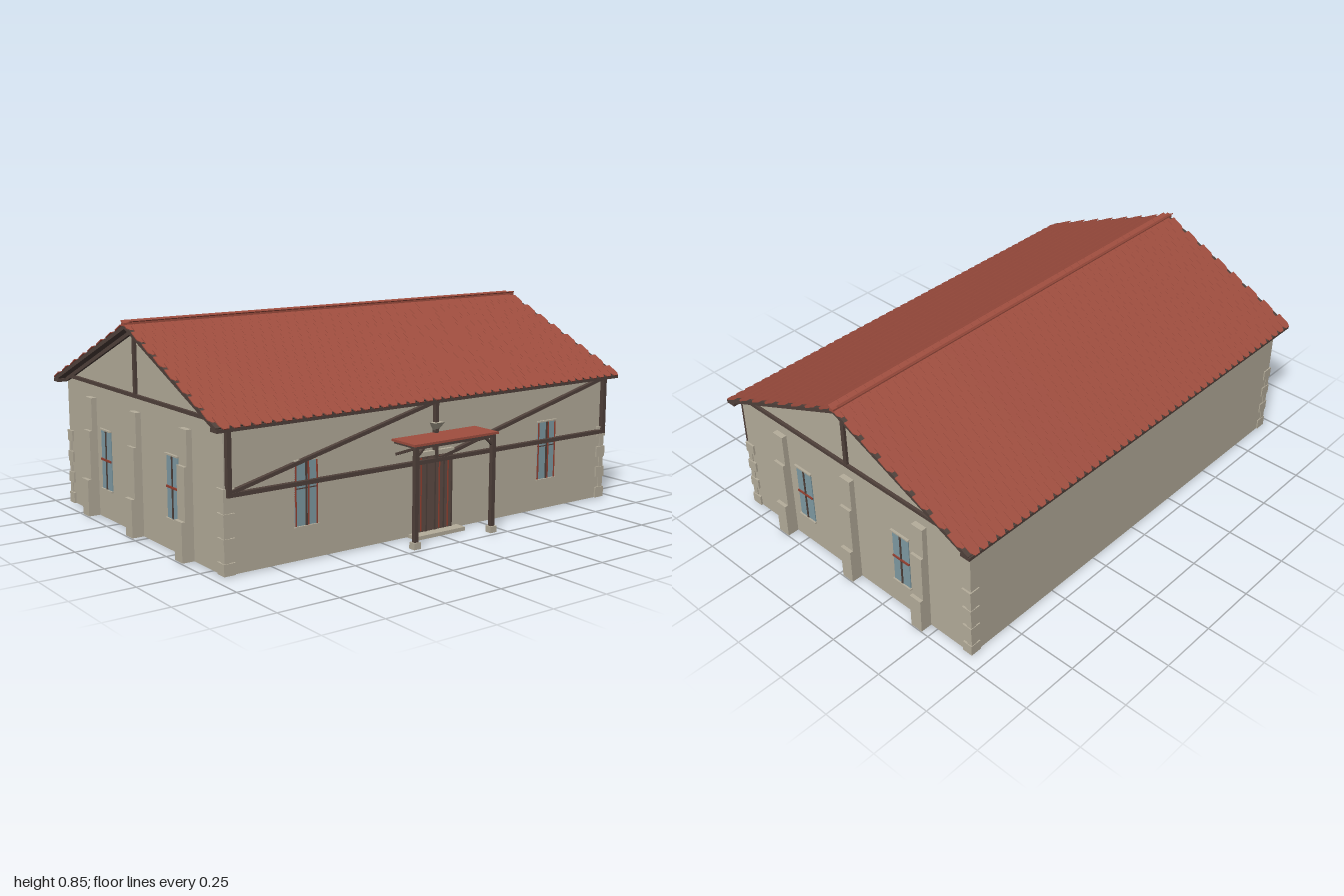
import * as THREE from 'three';
import { mergeGeometries } from 'three/addons/utils/BufferGeometryUtils.js';

const material = (name, color) => new THREE.MeshStandardMaterial({ name, color });

export function createModel() {
  const house = new THREE.Group();
  house.name = 'house';

  const plaster = material('plaster', 0xb5ad9b);
  const timber = material('dark timber', 0x50413b);
  const tileRed = material('terracotta', 0xa04e3f);
  const glass = material('window glass', 0x7f9ba4);
  const doorWood = material('door wood', 0x5f4c44);
  const trimRed = material('red trim', 0x954030);

  const RIDGE_Z = -0.05, RIDGE_Y = 0.832, RUN = 0.68, SLOPE = 0.431;
  const ANGLE = Math.atan(SLOPE), LENGTH = RUN / Math.cos(ANGLE);

  const add = (name, geometry, mat, parent = house) => {
    const mesh = new THREE.Mesh(geometry, mat);
    mesh.name = name;
    parent.add(mesh);
    return mesh;
  };
  // box given by its limits
  const box = (name, mat, [x0, x1], [y0, y1], [z0, z1], parent) => {
    const mesh = add(name, new THREE.BoxGeometry(x1 - x0, y1 - y0, z1 - z0), mat, parent);
    mesh.position.set((x0 + x1) / 2, (y0 + y1) / 2, (z0 + z1) / 2);
    return mesh;
  };
  // straight timber between two points
  const beam = (name, a, b, width, depth = width) => {
    const from = new THREE.Vector3(...a), to = new THREE.Vector3(...b);
    const mesh = add(name, new THREE.BoxGeometry(width, depth, from.distanceTo(to)), timber);
    mesh.position.copy(from).add(to).multiplyScalar(0.5);
    mesh.lookAt(to);
    return mesh;
  };

  // walls: gabled cross-section run along x
  const section = new THREE.Shape([
    [-0.59, 0.004], [0.685, 0.004], [0.685, 0.538], [0.05, 0.812], [-0.59, 0.538],
  ].map(([u, v]) => new THREE.Vector2(u, v)));
  const walls = new THREE.ExtrudeGeometry(section, { depth: 1.9, bevelEnabled: false });
  walls.rotateY(Math.PI / 2).translate(-0.95, 0, 0);
  add('walls', walls, plaster);
  box('floorSlab', plaster, [-0.93, 0.93], [0, 0.006], [-0.665, 0.57]);

  // roof: dark deck with staggered pointed tiles on each slope
  const COLS = 46, ROWS = 16, tileW = 2 / (COLS + 0.5), step = LENGTH / ROWS;
  const w = tileW * 0.485, long = step * 1.5;
  const tileShape = new THREE.Shape([
    [-w, 0], [-w, -long * 0.75], [-w * 0.5, -long], [w * 0.5, -long], [w, -long * 0.75], [w, 0],
  ].map(([u, v]) => new THREE.Vector2(u, v)));
  const tile = new THREE.ExtrudeGeometry(tileShape, { depth: 0.004, bevelEnabled: false });
  tile.rotateX(-Math.PI / 2 + 0.09);
  const tiles = [];
  for (let r = 0; r < ROWS; r++) {
    for (let c = 0; c < COLS; c++) {
      const x = -1 + tileW * (c + 0.5 + (r % 2) * 0.5);
      tiles.push(tile.clone().translate(x, 0.005, (r + 1) * step - long));
    }
  }
  // tiles were drawn downward from their upper edge, which now points along +z
  const tileField = mergeGeometries(tiles);
  for (const side of [1, -1]) {
    const slope = new THREE.Group();
    slope.name = side > 0 ? 'frontRoof' : 'backRoof';
    slope.position.set(0, RIDGE_Y, RIDGE_Z);
    slope.rotation.set(ANGLE, side > 0 ? 0 : Math.PI, 0, 'YXZ');
    add('roofTiles', tileField, tileRed, slope);
    box('roofDeck', timber, [-0.995, 0.995], [-0.014, 0.002], [0, LENGTH - 0.01], slope);
    house.add(slope);
    const eave = RIDGE_Z + side * 0.655;
    box('eaveBoard', timber, [-0.995, 0.995], [0.527, 0.541], [eave - 0.022, eave + 0.022]);
  }
  box('ridgeCap', tileRed, [-1, 1], [RIDGE_Y - 0.004, RIDGE_Y + 0.009], [RIDGE_Z - 0.012, RIDGE_Z + 0.012]);

  // window facing +z, standing on its local origin
  const makeWindow = (name, width, height, redUpright) => {
    const g = new THREE.Group(), h = width / 2;
    g.name = name;
    box('pane', glass, [-h, h], [0, height], [-0.004, 0.003], g);
    box('mullion', timber, [-0.004, 0.004], [0, height], [0, 0.006], g);
    if (redUpright) {
      for (const x of [-h, 0.007, h - 0.004]) box('redUpright', trimRed, [x, x + 0.004], [0, height], [0, 0.007], g);
      box('crossBar', timber, [-h, h], [height * 0.57, height * 0.57 + 0.004], [0, 0.005], g);
    } else {
      box('redCrossBar', trimRed, [-h, h], [height / 2 - 0.004, height / 2 + 0.004], [0, 0.008], g);
    }
    for (const y of [-0.006, height]) box('sill', plaster, [-h - 0.005, h + 0.005], [y, y + 0.006], [0, 0.01], g);
    house.add(g);
    return g;
  };

  for (const s of [1, -1]) {
    const xs = (a, b) => (s > 0 ? [a, b] : [-b, -a]);

    // stepped buttresses on the gable walls
    for (const z of [0.345, -0.05, -0.44]) {
      for (const [y0, y1, x] of [[0.004, 0.157, 1], [0.157, 0.36, 0.985], [0.36, 0.495, 0.973]]) {
        box('buttress', plaster, xs(0.94, x), [y0, y1], [z - 0.028, z + 0.028]);
      }
    }
    // gable windows
    for (const z of [0.228, -0.325]) {
      const win = makeWindow('gableWindow', 0.086, 0.242, false);
      win.position.set(s * 0.951, 0.13, z);
      win.rotation.y = s * Math.PI / 2;
    }
    // gable timber frame
    const gx = s * 0.953;
    box('gableTie', timber, xs(0.94, 0.962), [0.549, 0.563], [-0.68, 0.585]);
    box('gablePost', timber, xs(0.94, 0.961), [0.56, 0.81], [-0.059, -0.041]);
    for (const d of [1, -1]) {
      beam('gableRafter', [gx, 0.811, RIDGE_Z], [gx, 0.811 - 0.63 * SLOPE, RIDGE_Z + d * 0.63], 0.016, 0.02);
    }
    // corner stones, alternately long and short
    for (let i = 0; i < 7; i++) {
      const y = 0.004 + i * 0.045, reach = i % 2 ? 0.02 : 0.04;
      const out = i % 2 ? 0.004 : 0.008;
      box('cornerStone', plaster, xs(0.95 - reach, 0.95 + out), [y, y + 0.045], [0.59 - reach, 0.59 + out]);
      box('cornerStone', plaster, xs(0.95 - reach, 0.95 + out), [y, y + 0.045], [-0.685 - out * 0.6, -0.685 + reach]);
    }
    // front windows and end posts of the front frame
    makeWindow('frontWindow', 0.097, 0.242, true).position.set(s * 0.606, 0.135, 0.591);
    box('framePost', timber, xs(0.927, 0.945), [0.29, 0.535], [0.585, 0.609]);

    // porch post, stone foot and braces
    const px = s * 0.193;
    box('porchFoot', plaster, [px - 0.016, px + 0.016], [0, 0.026], [0.7, 0.73]);
    box('porchPost', timber, [px - 0.009, px + 0.009], [0.02, 0.39], [0.707, 0.724]);
    beam('porchSideBrace', [px, 0.387, 0.712], [px, 0.345, 0.598], 0.01);
    beam('porchFrontBrace', [px, 0.35, 0.715], [px - s * 0.042, 0.388, 0.715], 0.009);
    box('porchRafter', timber, [px - 0.007, px + 0.007], [0.386, 0.396], [0.59, 0.72]);
  }

  // front timber frame
  box('frameRail', timber, [-0.945, 0.945], [0.289, 0.305], [0.585, 0.609]);
  box('frameKingPost', timber, [-0.008, 0.008], [0.3, 0.535], [0.585, 0.608]);
  beam('frameDiagonal', [-0.93, 0.305, 0.597], [0, 0.53, 0.597], 0.02, 0.014);
  beam('frameDiagonal', [0.02, 0.303, 0.597], [0.93, 0.53, 0.597], 0.02, 0.014);
  const bell = add('postOrnament', new THREE.CylinderGeometry(0.036, 0.008, 0.036, 4, 1), plaster);
  bell.geometry.rotateY(Math.PI / 4);
  bell.position.set(0, 0.429, 0.597);

  // porch roof
  box('porchBeam', timber, [-0.2, 0.2], [0.384, 0.396], [0.706, 0.724]);
  box('porchRoof', tileRed, [-0.21, 0.21], [0.396, 0.405], [0.59, 0.73]);

  // door with step and lintel
  box('door', doorWood, [-0.09, 0.09], [0.015, 0.318], [0.58, 0.596]);
  for (const x of [-0.072, 0.02, 0.064]) box('doorStrip', trimRed, [x, x + 0.005], [0.02, 0.312], [0.59, 0.599]);
  for (const x of [-0.09, -0.045, -0.002, 0.042, 0.083]) box('doorBatten', timber, [x, x + 0.006], [0.015, 0.318], [0.59, 0.599]);
  box('doorLintel', plaster, [-0.094, 0.09], [0.318, 0.336], [0.58, 0.606]);
  box('doorStep', plaster, [-0.123, 0.123], [0, 0.015], [0.57, 0.64]);

  return house;
}
